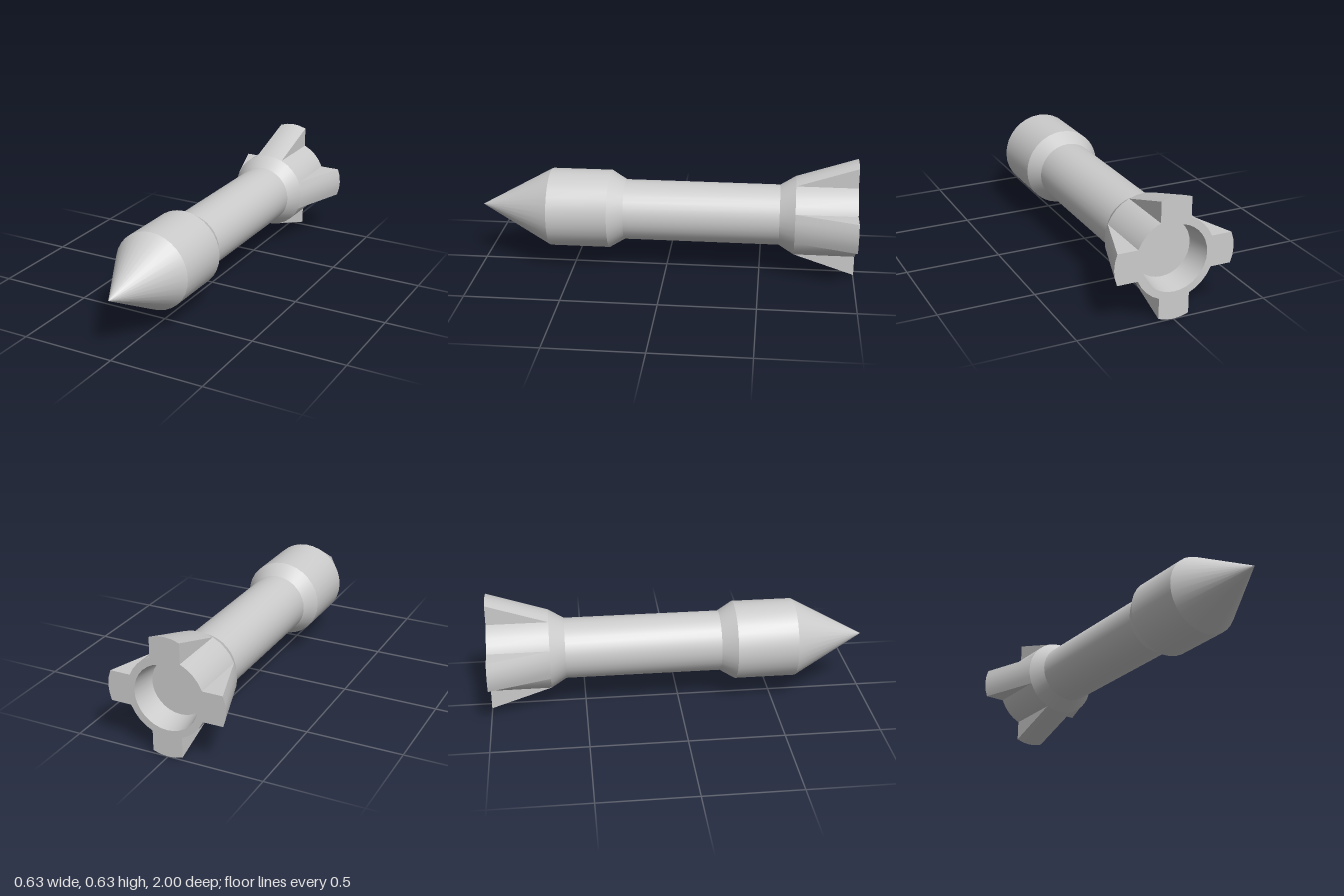
import * as THREE from 'three';
import { toCreasedNormals } from 'three/addons/utils/BufferGeometryUtils.js';

const AXIS_HEIGHT = 0.314;
const BODY_RADIUS = 0.208;
const SEGMENTS = 32;
const CREASE = 0.4;
const TAIL_Z = -1;
const FIN_LENGTH = 0.32;
const FIN_RISE = 0.106;

// Turned body: recessed nozzle, tail collar, slim tube, thick head, pointed nose
function bodyGeometry() {
  const profile = [
    [0, -0.87], [0.15, -0.87], [0.17, TAIL_Z], [BODY_RADIUS, TAIL_Z],
    [BODY_RADIUS, -0.68], [0.16, -0.6], [0.16, 0.22],
    [BODY_RADIUS, 0.3], [BODY_RADIUS, 0.62], [0, 1],
  ].map(([r, z]) => new THREE.Vector2(r, z));
  const geometry = new THREE.LatheGeometry(profile, SEGMENTS);
  geometry.rotateX(Math.PI / 2);
  return toCreasedNormals(geometry, CREASE);
}

// Fin: a strip of the collar's curve that rises evenly towards the tail
function finGeometry() {
  const base = 0.18;
  const step = (2 * Math.PI) / SEGMENTS;
  const arc = [];
  for (let i = 2; i >= -2; i--) {
    arc.push(new THREE.Vector2(Math.sin(i * step), Math.cos(i * step)).multiplyScalar(BODY_RADIUS));
  }
  const halfWidth = arc[0].x;
  const shape = new THREE.Shape([
    new THREE.Vector2(-halfWidth, base), new THREE.Vector2(halfWidth, base), ...arc,
  ]);
  const geometry = new THREE.ExtrudeGeometry(shape, { depth: FIN_LENGTH, bevelEnabled: false });
  const position = geometry.attributes.position;
  for (let i = 0; i < position.count; i++) {
    const y = position.getY(i);
    if (y > base + 0.005) {
      position.setY(i, y + FIN_RISE * (1 - position.getZ(i) / FIN_LENGTH));
    }
  }
  geometry.translate(0, 0, TAIL_Z);
  return toCreasedNormals(geometry, CREASE);
}

export function createModel() {
  const model = new THREE.Group();
  model.name = 'rocket';
  const material = new THREE.MeshStandardMaterial({ color: 0xcccccc });

  const add = (name, geometry) => {
    const mesh = new THREE.Mesh(geometry, material);
    mesh.name = name;
    mesh.position.y = AXIS_HEIGHT;
    model.add(mesh);
    return mesh;
  };

  add('body', bodyGeometry());

  // Four fins around the tail
  const fin = finGeometry();
  ['topFin', 'rightFin', 'bottomFin', 'leftFin'].forEach((name, i) => {
    add(name, fin).rotation.z = (i * Math.PI) / 2;
  });

  return model;
}
